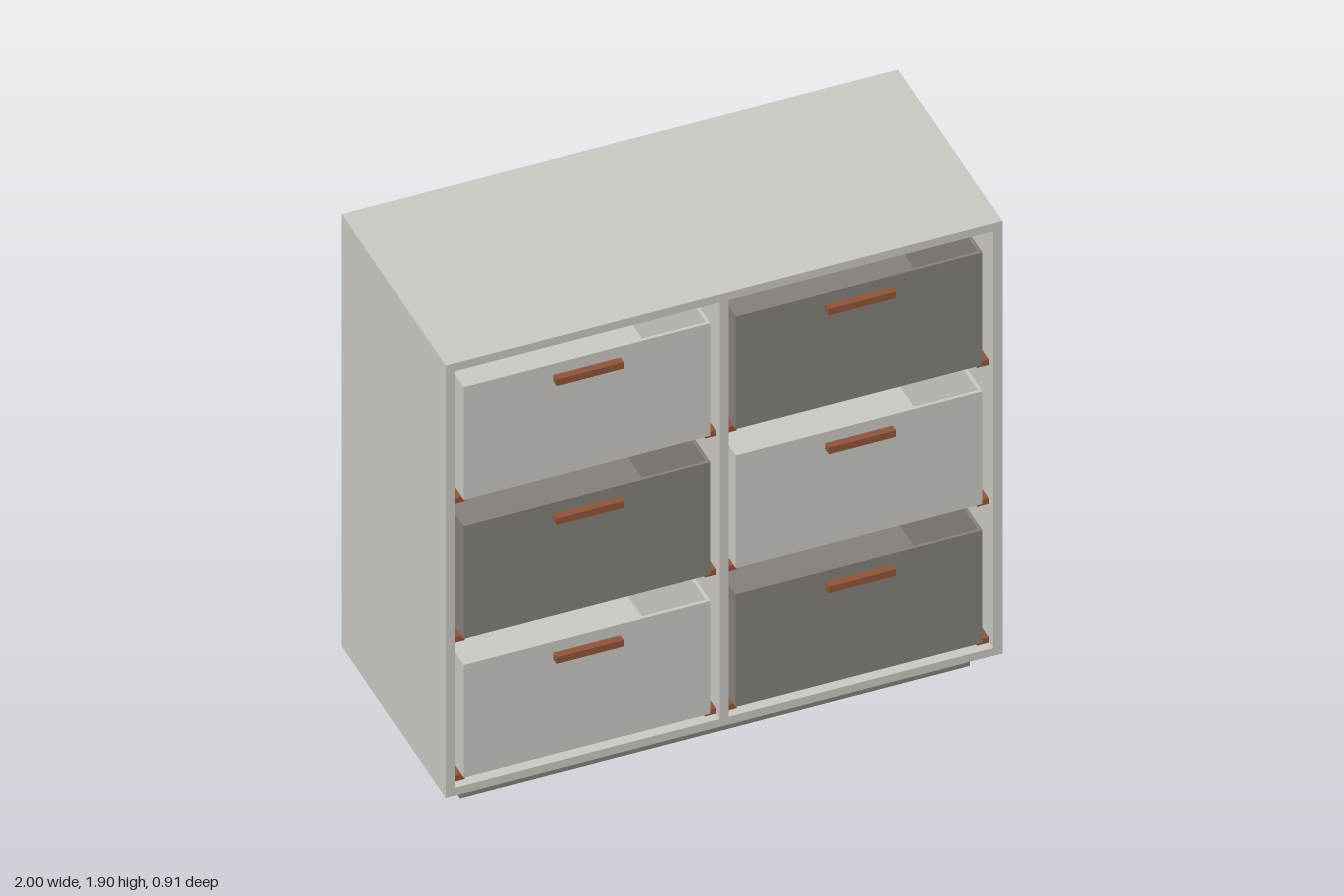
import * as THREE from 'three';

const lightPanel = new THREE.MeshStandardMaterial({ name: 'warm light grey', color: 0xcac8c2 });
const darkPanel = new THREE.MeshStandardMaterial({ name: 'warm dark grey', color: 0x857f7a });
const wood = new THREE.MeshStandardMaterial({ name: 'red brown wood', color: 0x8f5439 });

// Box given by its minimum and maximum corners
function box(parent, name, material, [x0, y0, z0], [x1, y1, z1]) {
  const mesh = new THREE.Mesh(new THREE.BoxGeometry(x1 - x0, y1 - y0, z1 - z0), material);
  mesh.position.set((x0 + x1) / 2, (y0 + y1) / 2, (z0 + z1) / 2);
  mesh.name = name;
  parent.add(mesh);
}

const FRONT = 0.433, BACK = -0.453, LOW = 0.085, HIGH = 1.9, T = 0.033;

function createCabinet() {
  const g = new THREE.Group();
  g.name = 'cabinet';
  const inner = 1 - T;
  box(g, 'plinth', darkPanel, [-0.917, 0, -0.373], [0.917, LOW, 0.353]);
  box(g, 'rightSide', lightPanel, [-1, LOW, BACK], [-inner, HIGH, FRONT]);
  box(g, 'leftSide', lightPanel, [inner, LOW, BACK], [1, HIGH, FRONT]);
  box(g, 'topPanel', lightPanel, [-inner, HIGH - T, BACK], [inner, HIGH, FRONT]);
  box(g, 'bottomPanel', lightPanel, [-inner, LOW, BACK], [inner, LOW + T, FRONT]);
  box(g, 'backPanel', lightPanel, [-inner, LOW + T, BACK], [inner, HIGH - T, BACK + T]);
  box(g, 'divider', lightPanel, [-T / 2, LOW + T, BACK + T], [T / 2, HIGH - T, FRONT]);
  return g;
}

// Open-topped bin with a bar handle, resting on two runners
function createDrawer(material) {
  const g = new THREE.Group();
  g.name = 'drawer';
  const w = 0.444, h = 0.473, f = 0.425, b = -0.365, t = 0.012;
  box(g, 'binFront', material, [-w, 0, f - t], [w, h, f]);
  box(g, 'binBack', material, [-w, 0, b], [w, h, b + t]);
  box(g, 'binFloor', material, [-w + t, 0, b + t], [w - t, t, f - t]);
  for (const s of [-1, 1]) {
    const x = s * (w - t / 2);
    box(g, 'binSide', material, [x - t / 2, 0, b + t], [x + t / 2, h, f - t]);
    const r = s * 0.454;
    box(g, 'runner', wood, [r - 0.0215, -0.023, b], [r + 0.0215, -0.001, 0.405]);
  }
  box(g, 'handle', wood, [-0.121, 0.4, f], [0.121, 0.427, 0.453]);
  return g;
}

export function createModel() {
  const model = new THREE.Group();
  model.name = 'drawerCabinet';
  model.add(createCabinet());

  // Three rows of two drawers, bottom row first
  const colours = [[lightPanel, darkPanel], [darkPanel, lightPanel], [lightPanel, darkPanel]];
  colours.forEach((row, i) => row.forEach((material, j) => {
    const drawer = createDrawer(material);
    drawer.position.set(j ? 0.489 : -0.489, 0.144 + i * 0.583, 0);
    model.add(drawer);
  }));
  return model;
}
